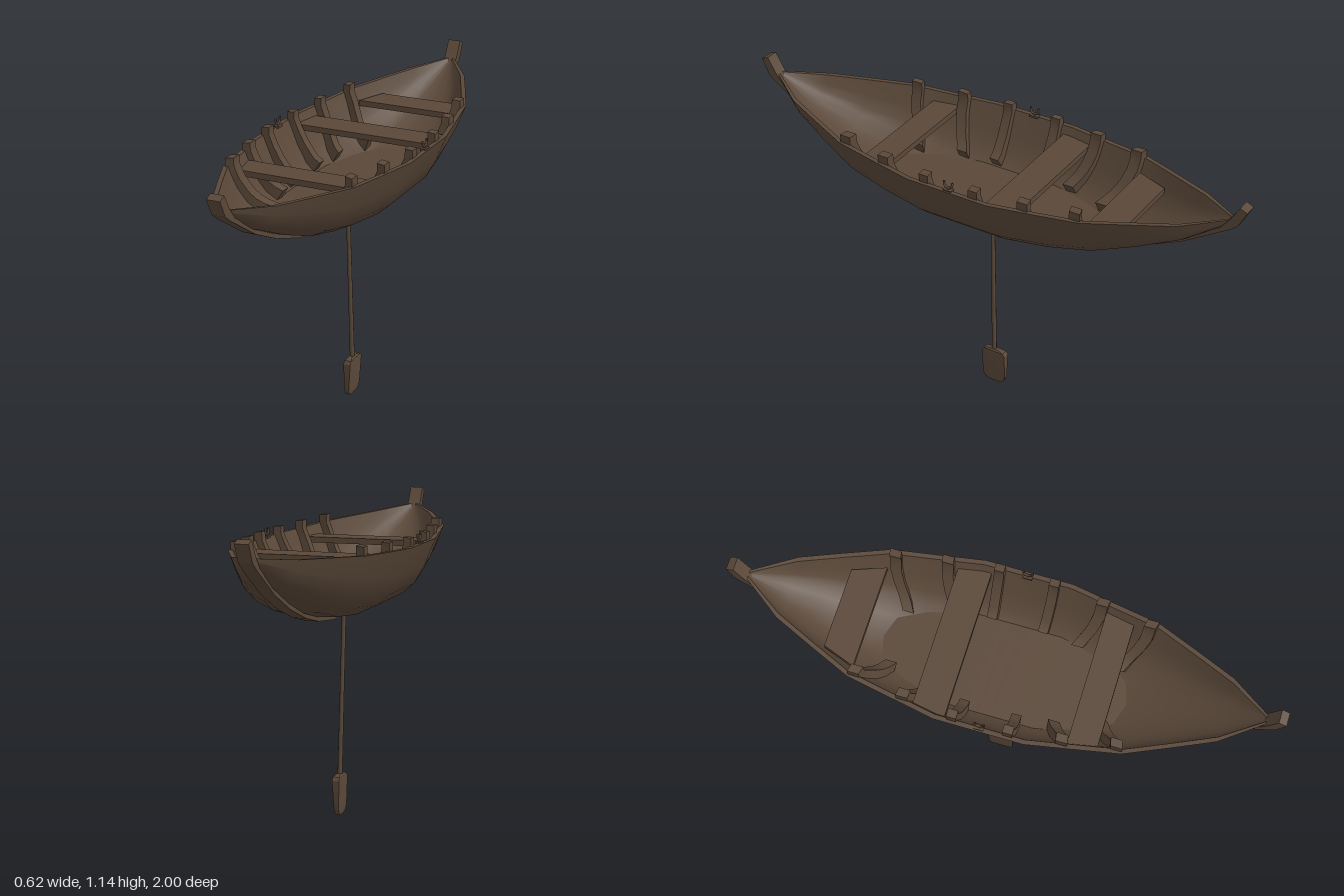
import * as THREE from 'three';
import { toCreasedNormals } from 'three/addons/utils/BufferGeometryUtils.js';

// Hull stations: z, half width, gunwale height, keel height
const STATIONS = [
  [0, 0.31, 1.03, 0.77], [0.16, 0.31, 1.03, 0.775], [0.33, 0.279, 1.034, 0.793], [0.49, 0.25, 1.04, 0.831],
  [0.64, 0.186, 1.049, 0.888], [0.79, 0.12, 1.058, 0.959], [0.94, 0.012, 1.076, 1.06],
];
// Cross-section from keel to gunwale, as fractions of half width and depth
const PROFILE = [[0, 0], [0.34, 0.03], [0.6, 0.18], [0.74, 0.33], [0.87, 0.61], [1, 1]];
const WALL = 0.018, FLOOR_Y = 0.84;

const lerp = THREE.MathUtils.lerp;

function station(z) {
  const a = Math.min(Math.abs(z), 0.94);
  let i = 0;
  while (i < STATIONS.length - 2 && a > STATIONS[i + 1][0]) i++;
  const p = STATIONS[i], q = STATIONS[i + 1], t = (a - p[0]) / (q[0] - p[0]);
  return { w: lerp(p[1], q[1], t), top: lerp(p[2], q[2], t), keel: lerp(p[3], q[3], t) };
}

// Half width of the hull at a given z and height
function widthAt(z, y) {
  const s = station(z), f = (y - s.keel) / (s.top - s.keel);
  if (f <= 0) return 0;
  let i = 0;
  while (i < PROFILE.length - 2 && f > PROFILE[i + 1][1]) i++;
  const p = PROFILE[i], q = PROFILE[i + 1];
  return s.w * lerp(p[0], q[0], (f - p[1]) / (q[1] - p[1]));
}

// Skin between rows of points; closed rows form a capped solid
function loft(rows, closed, crease) {
  const n = rows[0].length, index = [], m = closed ? n : n - 1;
  for (let i = 0; i < rows.length - 1; i++) {
    for (let j = 0; j < m; j++) {
      const a = i * n + j, b = i * n + (j + 1) % n;
      index.push(a, b, a + n, b, b + n, a + n);
    }
  }
  if (closed) {
    const e = (rows.length - 1) * n;
    for (let j = 1; j < n - 1; j++) index.push(0, j + 1, j, e, e + j, e + j + 1);
  }
  const g = new THREE.BufferGeometry();
  g.setAttribute('position', new THREE.Float32BufferAttribute(rows.flat(2), 3));
  g.setIndex(index);
  return toCreasedNormals(g, crease);
}

function hullRow(z, inset) {
  const s = station(z), w = Math.max(s.w - inset, 0.002), keel = Math.min(s.keel + inset, s.top - 0.002);
  const half = PROFILE.map(([fx, fy]) => [w * fx, lerp(keel, s.top, fy), z]);
  return [...half.slice(1).reverse().map(([x, y]) => [-x, y, z]), ...half];
}

export function createModel() {
  const boat = new THREE.Group();
  boat.name = 'rowingBoat';
  const wood = new THREE.MeshStandardMaterial({ color: 0x5a4839, side: THREE.DoubleSide });
  wood.name = 'darkWood';
  const add = (name, geometry, parent = boat) => {
    const mesh = new THREE.Mesh(geometry, wood);
    mesh.name = name;
    parent.add(mesh);
    return mesh;
  };

  // Outer and inner skins joined by the gunwale rim
  const half = STATIONS.slice(1).map((s) => s[0]);
  const zs = [...half.map((z) => -z).reverse(), ...half];
  const outer = zs.map((z) => hullRow(z, 0));
  const inner = zs.map((z) => hullRow(z, WALL));
  add('hullOutside', loft(outer, false, 0.9));
  add('hullInside', loft(inner.map((r) => [...r].reverse()), false, 0.9));
  const last = outer[0].length - 1;
  add('leftGunwale', loft(zs.map((z, i) => [outer[i][last], inner[i][last]]), false, 0.3));
  add('rightGunwale', loft(zs.map((z, i) => [inner[i][0], outer[i][0]]), false, 0.3));

  // Floor boards, cut to the hull
  const floorRows = [];
  for (let i = -10; i <= 10; i++) {
    const z = i * 0.049, w = Math.max(widthAt(z, FLOOR_Y) - 0.012, 0.002);
    floorRows.push([[w, FLOOR_Y, z], [-w, FLOOR_Y, z]]);
  }
  add('floor', loft(floorRows, false, 0.3));

  // Keel strip sweeping up into the two stem posts: outer z, y, inner z, y
  const keelHalf = [
    [1.0, 1.128, 0.972, 1.14], [0.968, 1.065, 0.94, 1.085], [0.935, 1.04, 0.905, 1.04],
    [0.77, 0.935, 0.76, 0.95], [0.62, 0.865, 0.613, 0.88], [0.46, 0.81, 0.455, 0.828],
    [0.33, 0.78, 0.328, 0.798], [0.17, 0.762, 0.17, 0.782],
  ];
  const keelPath = [...keelHalf, ...[...keelHalf].reverse().map(([a, b, c, d]) => [-a, b, -c, d])];
  const k = 0.025;
  add('keelAndStems', loft(keelPath.map(([za, ya, zb, yb]) =>
    [[-k, ya, za], [k, ya, za], [k, yb, zb], [-k, yb, zb]]), true, 0.3));

  // Benches: back z, front z, back half width, front half width
  const seat = 1.0;
  [[-0.61, -0.49, 0.15, 0.195], [-0.25, -0.13, 0.272, 0.283], [0.3, 0.405, 0.26, 0.24]].forEach(([z0, z1, w0, w1]) => {
    const rows = [[z0, w0], [z1, w1]].map(([z, w]) =>
      [[-w, seat, z], [w, seat, z], [w, seat - 0.022, z], [-w, seat - 0.022, z]]);
    add('bench', loft(rows, true, 0.3));
  });

  // Ribs: z at the gunwale, z at the floor, half thickness
  const ribs = new THREE.Group();
  ribs.name = 'ribs';
  boat.add(ribs);
  [[0.1, 0.095, 0.018], [0.285, 0.23, 0.021], [0.47, 0.395, 0.021]].forEach(([zTop, zEnd, h]) => {
    for (const sx of [-1, 1]) for (const sz of [-1, 1]) {
      const rows = [], yTop = station(zTop).top;
      for (let i = 0; i <= 8; i++) {
        const t = i / 8;
        const y = i === 0 ? yTop + 0.03 : lerp(yTop, FLOOR_Y - 0.005, Math.pow((i - 1) / 7, 0.8));
        const z = lerp(zTop, zEnd, t * t);
        const x = widthAt(z, Math.min(y, station(z).top)) - 0.012;
        const d = new THREE.Vector2(-x, 1.12 - y);
        if (y > 0.98) d.set(-1, 0.1);
        d.setLength(0.03 + 0.025 * t * t);
        const skew = (zTop - 0.1) * 0.02;
        rows.push([
          [x, y, z - h], [x, y, z + h],
          [x + d.x, y + d.y, z + h - skew], [x + d.x, y + d.y, z - h - skew],
        ].map(([px, py, pz]) => [px * sx, py, pz * sz]));
      }
      add('rib', loft(rows, true, 0.5), ribs);
    }
  });

  // Oarlocks on both gunwales
  for (const sx of [-1, 1]) {
    const lock = new THREE.Group();
    lock.name = sx > 0 ? 'leftOarlock' : 'rightOarlock';
    lock.position.set(sx * 0.293, 1.03, 0);
    boat.add(lock);
    const fork = new THREE.TorusGeometry(0.017, 0.0045, 6, 12, Math.PI * 1.25);
    fork.rotateZ(-Math.PI * 1.125).rotateY(Math.PI / 2);
    add('oarlockFork', fork, lock).position.y = 0.026;
    add('oarlockPin', new THREE.CylinderGeometry(0.005, 0.005, 0.02, 8), lock);
    add('oarlockPlate', new THREE.BoxGeometry(0.022, 0.008, 0.034), lock);
  }

  // Paddle hanging below the hull, slightly tilted
  const paddle = new THREE.Group();
  paddle.name = 'paddle';
  boat.add(paddle);
  const from = new THREE.Vector3(0.005, 0.12, -0.011), to = new THREE.Vector3(-0.007, 0.79, 0.005);
  const shaft = add('paddleShaft', new THREE.CylinderGeometry(0.008, 0.0095, from.distanceTo(to), 8), paddle);
  shaft.position.copy(from).add(to).multiplyScalar(0.5);
  shaft.quaternion.setFromUnitVectors(new THREE.Vector3(0, 1, 0), to.clone().sub(from).normalize());

  // Blade rings from top to bottom: height, half width, half thickness
  const blade = [[0.156, 0.022, 0.008], [0.15, 0.042, 0.013], [0.138, 0.05, 0.014], [0.03, 0.048, 0.009],
    [0.01, 0.038, 0.008], [0, 0.022, 0.005]];
  add('paddleBlade', loft(blade.map(([y, w, t]) => {
    const cx = 0.002 + y * 0.018, cz = -0.012;
    return [[cx - t, y, cz - w], [cx + t, y, cz - w], [cx + t, y, cz + w], [cx - t, y, cz + w]];
  }), true, 0.5), paddle);

  return boat;
}
